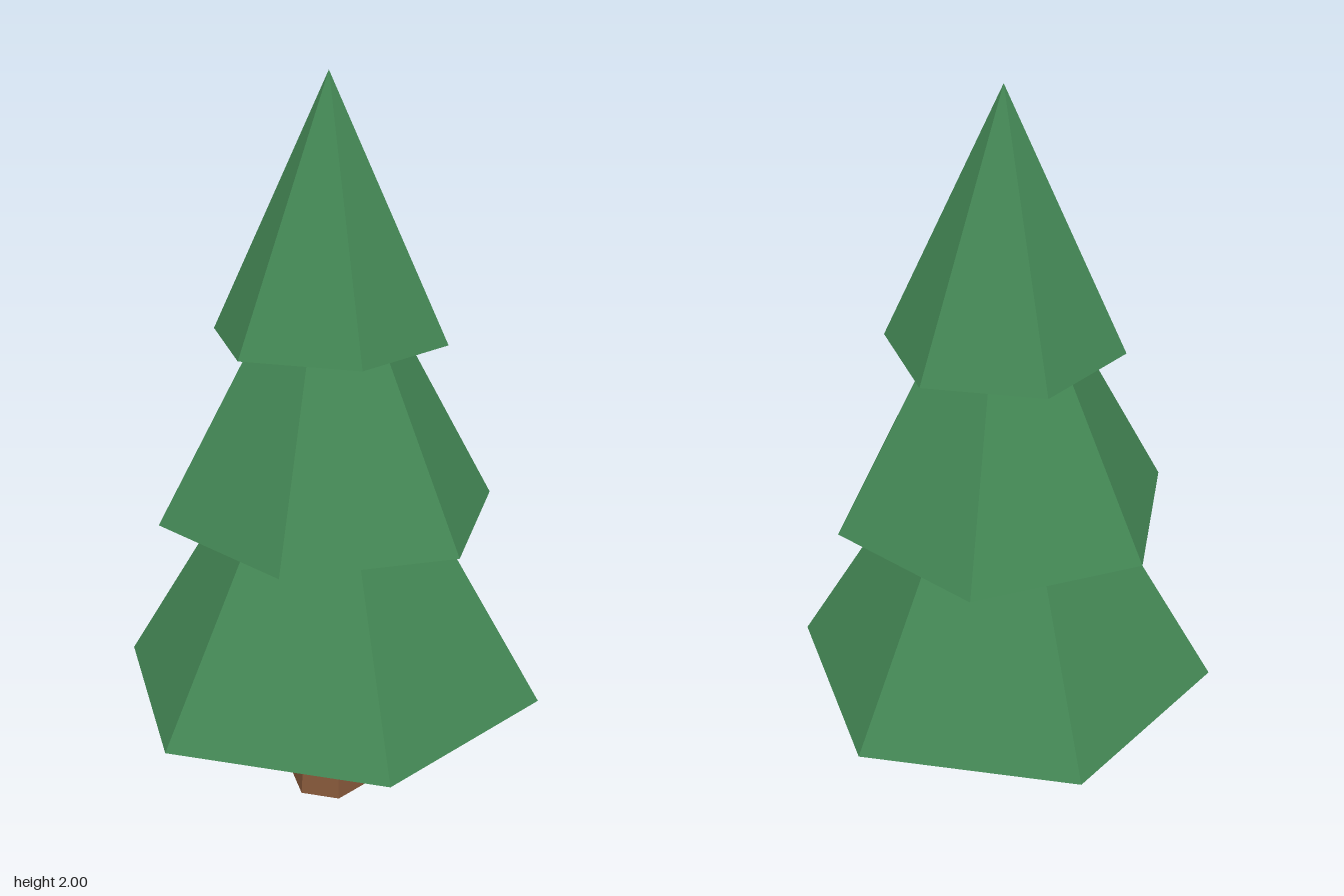
import * as THREE from 'three';

export function createModel() {
  const foliage = new THREE.MeshStandardMaterial({ color: 0x438654, flatShading: true });
  foliage.name = 'pine green';
  const bark = new THREE.MeshStandardMaterial({ color: 0x86583a, flatShading: true });
  bark.name = 'bark brown';

  const tree = new THREE.Group();
  tree.name = 'pineTree';

  // Six-sided part standing on y = base; turned ones point a corner at +x
  function addPart(name, material, rTop, rBottom, base, height, turned) {
    const geometry = rTop > 0
      ? new THREE.CylinderGeometry(rTop, rBottom, height, 6)
      : new THREE.ConeGeometry(rBottom, height, 6);
    if (turned) geometry.rotateY(Math.PI / 6);
    geometry.translate(0, base + height / 2, 0);
    const mesh = new THREE.Mesh(geometry, material);
    mesh.name = name;
    tree.add(mesh);
  }

  // Tapered trunk, ending at the underside of the lowest branches
  addPart('trunk', bark, 0.085, 0.11, 0, 0.345, true);

  // Three stacked tiers of branches, the middle one turned by half a side
  addPart('lowerBranches', foliage, 0, 0.59, 0.345, 0.99, true);
  addPart('middleBranches', foliage, 0, 0.462, 0.85, 0.85, false);
  addPart('topBranches', foliage, 0, 0.314, 1.33, 0.67, true);

  return tree;
}
